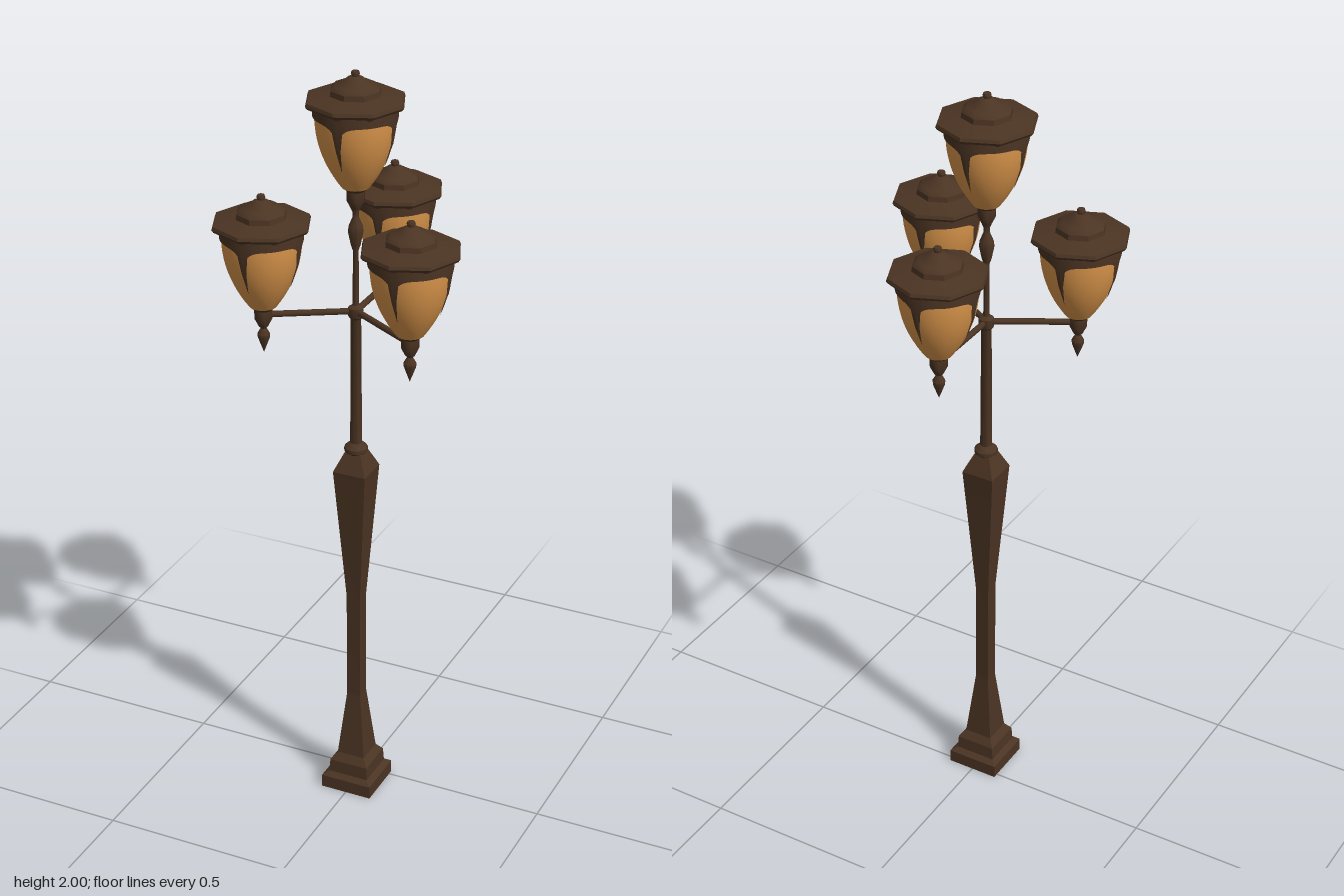
import * as THREE from 'three';
import { toCreasedNormals } from 'three/addons/utils/BufferGeometryUtils.js';

const POLE_Z = 0.056;
const ARM = 0.226;

function material(name, color, side = THREE.FrontSide) {
  const m = new THREE.MeshStandardMaterial({ color, side });
  m.name = name;
  return m;
}

// Turned part from [radius, y] pairs, listed bottom to top
function lathe(points, sides, crease = 0.7) {
  const g = new THREE.LatheGeometry(points.map(([r, y]) => new THREE.Vector2(r, y)), sides);
  return toCreasedNormals(g, crease);
}

// Square post from [halfWidth, y] pairs, sides parallel to x and z
function squarePost(points) {
  const g = lathe(points.map(([h, y]) => [h * Math.SQRT2, y]), 4, 0.1);
  return g.rotateY(Math.PI / 4);
}

// Glass radius at height y above the glass bottom
const GLASS_H = 0.19;
const glassRadius = (y) => 0.034 + 0.064 * (1 - Math.pow(1 - Math.min(y / GLASS_H, 1), 2.2));

// Arched metal skirt with four thin pointed ribs, hugging the glass
function skirtGeometry() {
  const g = new THREE.PlaneGeometry(1, 1, 96, 8);
  const p = g.attributes.position;
  for (let i = 0; i < p.count; i++) {
    const angle = p.getX(i) * Math.PI * 2;
    const down = 0.5 - p.getY(i);
    const quarter = angle / (Math.PI / 2);
    const toRib = Math.abs(quarter - Math.round(quarter)); // 0 at a rib, 0.5 mid-arch
    let drop = 0.025 + 0.035 * Math.pow(1 - 2 * toRib, 5);
    if (toRib < 0.01) drop = 0.145;
    else if (toRib < 0.05) drop = 0.085;
    const y = 0.205 - down * drop;
    const r = glassRadius(y) + 0.004;
    p.setXYZ(i, Math.sin(angle) * r, y, Math.cos(angle) * r);
  }
  g.computeVertexNormals();
  return g;
}

export function createModel() {
  const bronze = material('dark bronze', 0x4b3423);
  const bronzeSheet = material('dark bronze sheet', 0x4b3423, THREE.DoubleSide);
  const amber = material('amber glass', 0xd8944a);

  const model = new THREE.Group();
  model.name = 'streetLamp';
  const lampPost = new THREE.Group();
  lampPost.name = 'lampPost';
  lampPost.position.z = POLE_Z;
  model.add(lampPost);

  const add = (parent, name, geometry, mat) => {
    const mesh = new THREE.Mesh(geometry, mat);
    mesh.name = name;
    parent.add(mesh);
    return mesh;
  };

  // Square pedestal: plinth, flared foot, slim waist, wide shoulder
  add(lampPost, 'pedestal', squarePost([
    [0, 0], [0.07, 0], [0.07, 0.035], [0.055, 0.045], [0.053, 0.08], [0.038, 0.1],
    [0.019, 0.28], [0.019, 0.58], [0.044, 0.95], [0.022, 1.0], [0, 1.0],
  ]), bronze);

  // Round pole with collar, hub, thin rod and knob below the top lantern
  add(lampPost, 'pole', lathe([
    [0, 0.99], [0.022, 0.995], [0.03, 1.002], [0.03, 1.012], [0.022, 1.02], [0.015, 1.025],
    [0.013, 1.365], [0.019, 1.372], [0.019, 1.395], [0.008, 1.402], [0.007, 1.545],
    [0.012, 1.56], [0.019, 1.595], [0.017, 1.61], [0.008, 1.632], [0.008, 1.645], [0.014, 1.66],
  ], 12), bronze);

  // Shared lantern geometries, measured from the bottom of the glass
  const glassPoints = Array.from({ length: 13 }, (_, i) => {
    const y = GLASS_H * i / 12;
    return [glassRadius(y), y];
  });
  const glass = lathe([...glassPoints, [0.098, 0.205]], 32);
  const skirt = skirtGeometry();
  const cup = lathe([
    [0, -0.055], [0.012, -0.055], [0.022, -0.035], [0.022, -0.01], [0.028, -0.005],
    [0.036, 0.004], [0, 0.004],
  ], 12);
  const hat = lathe([
    [0, 0.198], [0.104, 0.198], [0.108, 0.206], [0.12, 0.207], [0.125, 0.214], [0.122, 0.222],
    [0.064, 0.232], [0.062, 0.245], [0.05, 0.256], [0.03, 0.262], [0.018, 0.273], [0.009, 0.276],
  ], 8, 0.6);
  const knob = lathe([
    [0.008, 0.27], [0.009, 0.277], [0.011, 0.282], [0.009, 0.288], [0, 0.29],
  ], 10);
  const drop = lathe([
    [0, -0.125], [0.005, -0.112], [0.015, -0.085], [0.016, -0.076], [0.007, -0.06], [0.012, -0.052],
  ], 10);

  function lantern(name, x, y, z, hanging) {
    const group = new THREE.Group();
    group.name = name;
    group.position.set(x, y, z);
    add(group, 'glass', glass, amber);
    add(group, 'skirt', skirt, bronzeSheet);
    add(group, 'cup', cup, bronze);
    add(group, 'hat', hat, bronze);
    add(group, 'hatKnob', knob, bronze);
    if (hanging) add(group, 'dropFinial', drop, bronze);
    lampPost.add(group);
  }

  lantern('topLantern', 0, 1.71, 0, false);

  // Three arms, a third of a turn apart, each carrying a lantern
  ['back', 'left', 'right'].forEach((side, i) => {
    const angle = Math.PI + i * Math.PI * 4 / 3;
    const armGeometry = new THREE.CylinderGeometry(0.008, 0.008, ARM, 10);
    armGeometry.rotateX(Math.PI / 2).translate(0, 0, ARM / 2);
    const arm = add(lampPost, side + 'Arm', armGeometry, bronze);
    arm.position.y = 1.385;
    arm.rotation.y = angle;
    lantern(side + 'Lantern', Math.sin(angle) * ARM, 1.409, Math.cos(angle) * ARM, true);
  });

  return model;
}
